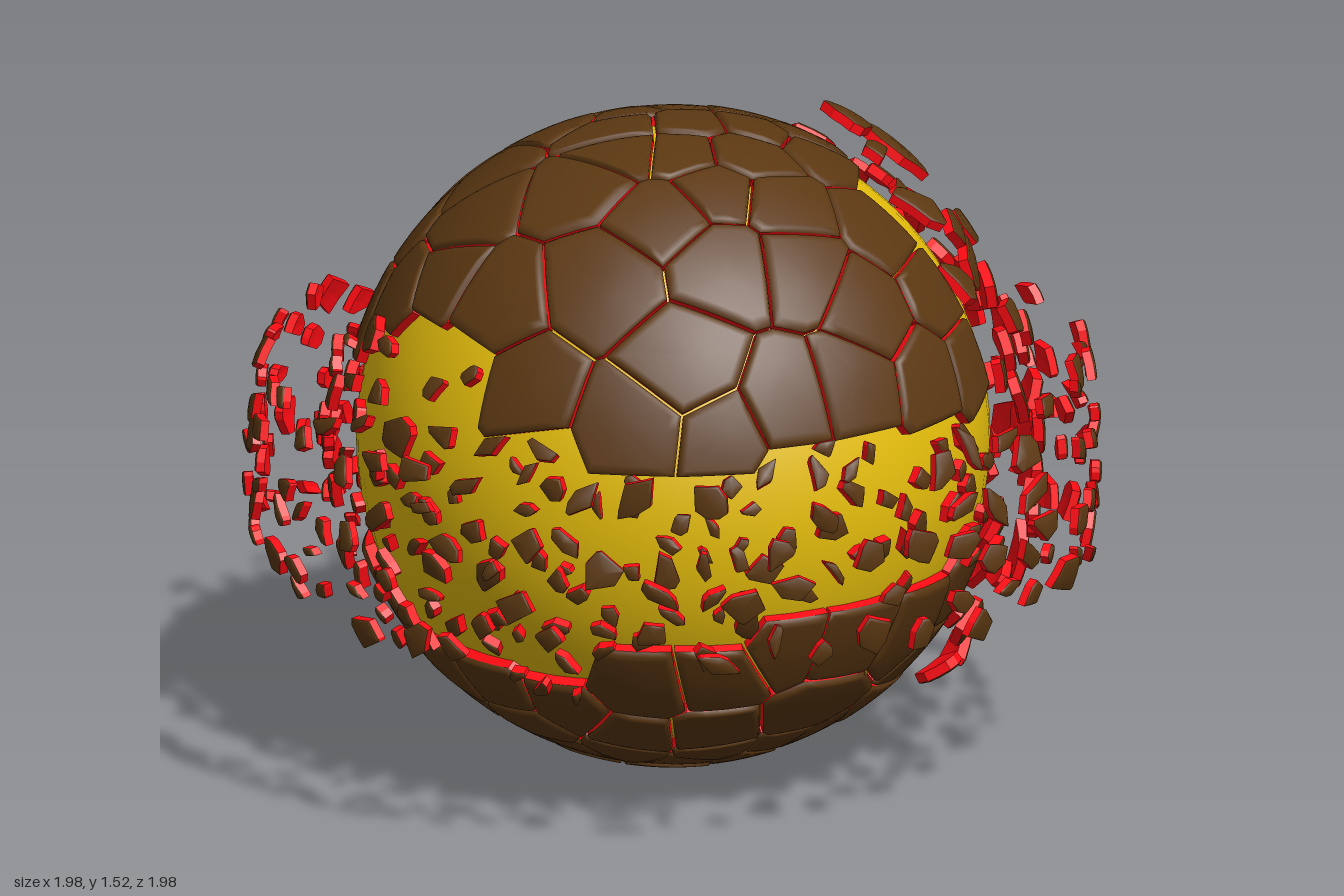
import * as THREE from 'three';

const CENTRE_Y = 0.765;
const DEG = Math.PI / 180;

// Small seeded generator
let state = 7;
const rand = () => {
  state = (state + 0x6d2b79f5) | 0;
  let t = Math.imul(state ^ (state >>> 15), 1 | state);
  t = (t + Math.imul(t ^ (t >>> 7), 61 | t)) ^ t;
  return ((t ^ (t >>> 14)) >>> 0) / 4294967296;
};
const range = (a, b) => a + (b - a) * rand();

const latitude = (d) => Math.asin(d.y) / DEG;
const azimuth = (d) => Math.atan2(d.x, d.z) / DEG; // 0 = front, 90 = +x
const direction = (az, lat) => new THREE.Vector3(
  Math.sin(az * DEG) * Math.cos(lat * DEG), Math.sin(lat * DEG), Math.cos(az * DEG) * Math.cos(lat * DEG));

// Sectors: [azimuth where it ends, lower edge of upper crust, upper edge of lower crust]
const SECTORS = [
  [-155, 36, -13], [-115, 24, -19], [-72, 14, -20], [-45, 24, -24], [-17, 30, -32],
  [12, 16, -34], [35, 10, -24], [70, 14, -18], [101, 12, -18], [119, 57, -56],
  [137, 57, -34], [153, 55, -14], [166, 48, -20], [181, 40, -17],
];
const sector = (az) => SECTORS.find((s) => az <= s[0]);
function isCrust(d) {
  const [, upper, lower] = sector(azimuth(d));
  return latitude(d) > upper || latitude(d) < lower;
}

// Seed pairs either side of the crust edges, so that cells part along them
function edgeSeeds() {
  const seeds = [];
  const add = (az, lat) => {
    const d = direction(az, lat);
    if (seeds.every((s) => s.distanceTo(d) > 0.13)) seeds.push(d);
  };
  // Upright cracks: [azimuth, latitudes]
  for (const [az, lats] of [[-17, [23]], [101, [18, 33, 47, -24, -38, -50]], [119, [-38, -50]], [137, [-23]]]) {
    for (const lat of lats) for (const side of [-1, 1]) add(az + side * 7 / Math.cos(lat * DEG), lat);
  }
  for (let az = -180; az < 180; az += 17) {
    const a = Math.min(179, az + range(0, 8)), [, upper, lower] = sector(a);
    for (const [lat, half] of [[upper, range(6, 9)], [lower, range(6, 9)]]) {
      add(a, lat + half);
      add(a, lat - half);
    }
  }
  return seeds;
}

// Irregular directions on the sphere, kept apart by spacing(direction)
function scatter(seeds, tries, spacing, maxLat = 90) {
  for (let i = 0; i < tries; i++) {
    const lat = Math.asin(range(-1, 1) * Math.sin(maxLat * DEG)) / DEG;
    const d = direction(range(-180, 180), lat), gap = spacing(d);
    if (seeds.every((s) => s.distanceTo(d) > gap)) seeds.push(d);
  }
  return seeds;
}

// Cell around one seed: a tangent square cut by the bisector of every neighbour
function cellOutline(s, seeds, gap, reach) {
  const u = new THREE.Vector3(0.31, 0.2, 0.93).cross(s).normalize();
  const v = s.clone().cross(u);
  let poly = [[-1, -1], [1, -1], [1, 1], [-1, 1]].map(([x, y]) =>
    s.clone().addScaledVector(u, x * reach).addScaledVector(v, y * reach));
  for (const n of seeds) {
    if (n === s || n.distanceTo(s) > 1) continue;
    const cut = s.clone().sub(n).normalize();
    const next = [];
    poly.forEach((p, i) => {
      const q = poly[(i + 1) % poly.length];
      const dp = p.dot(cut) - gap, dq = q.dot(cut) - gap;
      if (dp >= 0) next.push(p);
      if (dp * dq < 0) next.push(p.clone().lerp(q, dp / (dp - dq)));
    });
    poly = next;
    if (poly.length < 3) return null;
  }
  return poly;
}

// Collects curved stone pieces: a smooth outer skin and broken sides
class Stones {
  skin = []; index = []; broken = [];

  add(outline, { inner, outer, step, rings, round, place = (p) => p }) {
    const rim = [];
    outline.forEach((p, i) => {
      const q = outline[(i + 1) % outline.length];
      const n = Math.max(1, Math.ceil(p.distanceTo(q) / step));
      for (let k = 0; k < n; k++) rim.push(p.clone().lerp(q, k / n));
    });
    const mid = new THREE.Vector3();
    outline.forEach((p) => mid.addScaledVector(p, 1 / outline.length));
    const n = rim.length, base = this.skin.length / 3;
    const at = (p, r) => place(p.clone().setLength(r));

    // Outer skin, dropping a little at the rim
    this.skin.push(...at(mid, outer).toArray());
    rings.forEach((t, k) => rim.forEach((p) => {
      const drop = k === rings.length - 1 ? round : 0;
      this.skin.push(...at(mid.clone().lerp(p, t), outer - drop).toArray());
    }));
    for (let i = 0; i < n; i++) {
      const j = (i + 1) % n;
      this.index.push(base, base + 1 + i, base + 1 + j);
      for (let k = 1; k < rings.length; k++) {
        const a = base + 1 + (k - 1) * n, b = a + n;
        this.index.push(a + i, b + i, b + j, a + i, b + j, a + j);
      }
    }
    // Broken sides and underside
    const heart = at(mid, inner);
    rim.forEach((p, i) => {
      const q = rim[(i + 1) % n];
      const pi = at(p, inner), qi = at(q, inner), po = at(p, outer - round), qo = at(q, outer - round);
      for (const w of [pi, qi, qo, pi, qo, po, heart, qi, pi]) this.broken.push(w.x, w.y, w.z);
    });
  }

  build(name, skinMaterial, brokenMaterial) {
    const group = new THREE.Group();
    group.name = name;
    const parts = [['Skin', this.skin, this.index, skinMaterial], ['BrokenFaces', this.broken, null, brokenMaterial]];
    for (const [suffix, points, index, material] of parts) {
      const g = new THREE.BufferGeometry();
      g.setAttribute('position', new THREE.Float32BufferAttribute(points, 3));
      if (index) g.setIndex(index);
      g.computeVertexNormals();
      const mesh = new THREE.Mesh(g, material);
      mesh.name = name + suffix;
      group.add(mesh);
    }
    return group;
  }
}

// Shrinks a piece into a sliver around its middle, tilts it and lifts it to a new radius
function floating(s, radius, from, tilt, scale, slim) {
  const home = s.clone().multiplyScalar(from);
  const randomAxis = () => new THREE.Vector3(range(-1, 1), range(-1, 1), range(-1, 1)).normalize();
  const turn = new THREE.Quaternion().setFromAxisAngle(randomAxis(), range(-tilt, tilt));
  const across = randomAxis().cross(s).normalize();
  return (p) => {
    const local = p.sub(home);
    const up = local.dot(s);
    local.addScaledVector(s, -up).addScaledVector(across, local.dot(across) * (slim - 1));
    local.multiplyScalar(scale).addScaledVector(s, up);
    return local.applyQuaternion(turn).addScaledVector(s, radius);
  };
}

export function createModel() {
  state = 7;
  const model = new THREE.Group();
  model.name = 'burstingSphere';
  const yellow = new THREE.MeshStandardMaterial({ color: 0xe8c00c });
  const brown = new THREE.MeshStandardMaterial({ color: 0x5c3812 });
  const red = new THREE.MeshStandardMaterial({ color: 0xff0a12 });

  // Glowing core
  const core = new THREE.Mesh(new THREE.SphereGeometry(0.728, 64, 40), yellow);
  core.name = 'core';
  model.add(core);

  // Intact crust plates above and below the open band
  const plateSeeds = scatter(edgeSeeds(), 3000, (d) => range(0.7, 1.35) * (d.y < -0.75 ? 0.17 : d.y > 0.9 ? 0.22 : 0.3));
  const plates = new Stones();
  for (const s of plateSeeds.filter(isCrust)) {
    const outline = cellOutline(s, plateSeeds, range(0.003, 0.006), 1.2);
    if (outline) plates.add(outline, {
      inner: 0.716, outer: range(0.757, 0.764), step: 0.06, rings: [0.3, 0.6, 0.82, 0.94, 1], round: 0.01,
    });
  }
  model.add(plates.build('crustPlates', brown, red));

  // Shards lifting off the band, larger round the back
  const isLarge = (d) => azimuth(d) > 96 || azimuth(d) < -165;
  const shardSize = (d) => (isLarge(d) ? 0.165 : azimuth(d) < -105 ? 0.135 : 0.1);
  const shardSeeds = scatter([], 7000, (d) => range(0.65, 1.6) * shardSize(d));
  const nearestPlate = (d) => plateSeeds.reduce((a, b) => (b.distanceTo(d) < a.distanceTo(d) ? b : a));
  const shards = new Stones();
  for (const s of shardSeeds) {
    if (isCrust(nearestPlate(s)) || rand() < 0.1) continue;
    const outline = cellOutline(s, shardSeeds, 0.004, 0.3);
    if (!outline) continue;
    const large = shardSize(s) > 0.1;
    const lift = isLarge(s) ? range(0.01, 0.11) : range(0, 0.07);
    shards.add(outline, {
      inner: 0.73, outer: 0.757, step: 0.1, rings: [0.85, 1], round: 0.004,
      place: floating(s, 0.744 + lift, 0.744, 0.35, large ? range(0.66, 0.92) : range(0.4, 0.78), range(large ? 0.65 : 0.4, 1)),
    });
  }
  model.add(shards.build('liftedShards', brown, red));

  // Outer ring of drifting shards round the equator
  const ringSeeds = scatter([], 1000, () => range(0.07, 0.15), 14);
  const ring = new Stones();
  for (const s of ringSeeds) {
    const outline = cellOutline(s, ringSeeds, 0.003, 0.07);
    if (outline) ring.add(outline, {
      inner: 0.951, outer: 0.975, step: 0.1, rings: [0.85, 1], round: 0.004,
      place: floating(s, range(0.964, 0.986), 0.963, 0.35, range(0.35, 0.72), range(0.4, 1)),
    });
  }
  const ringGroup = ring.build('driftingRing', brown, red);
  ringGroup.position.y = -0.04;
  model.add(ringGroup);

  for (const part of model.children) part.position.y += CENTRE_Y;
  return model;
}
